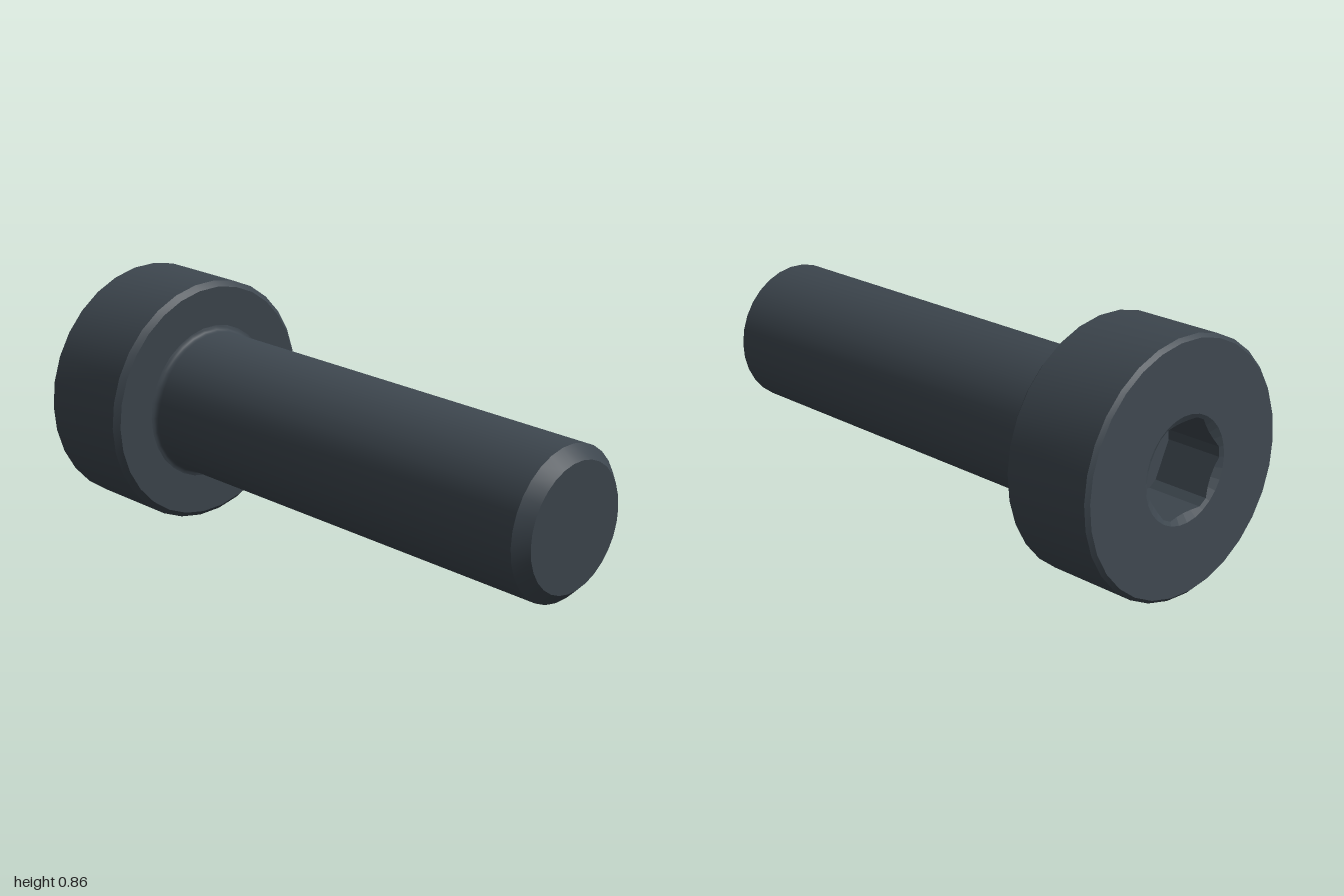
import * as THREE from 'three';
import { toCreasedNormals } from 'three/addons/utils/BufferGeometryUtils.js';

const SIDES = 30;
const HEAD_R = 0.415, HEAD_H = 0.342, SHAFT_R = 0.244, LENGTH = 1.904;
const SOCKET_RIM = 0.173, SOCKET_FLAT = 0.1465, SOCKET_DEPTH = 0.21;

const steel = new THREE.MeshStandardMaterial({ color: 0x3d464e });
steel.name = 'blackenedSteel';

function lathe(points) {
  return new THREE.LatheGeometry(points.map(([r, y]) => new THREE.Vector2(r, y)), SIDES);
}

function part(name, geometry) {
  const mesh = new THREE.Mesh(geometry, steel);
  mesh.name = name;
  return mesh;
}

// Hexagonal recess with a conical lead-in: a lathe whose walls are pulled to a hexagon
function socketGeometry() {
  const rows = [[0, SOCKET_DEPTH], [1, SOCKET_DEPTH], [1, 0], [SOCKET_RIM, 0]];
  const g = lathe(rows);
  const pos = g.attributes.position;
  for (let i = 0; i <= SIDES; i++) {
    const phi = (i / SIDES) * Math.PI * 2;
    // corners lie on the local x axis, where phi is 90 degrees
    const sector = (((phi - Math.PI / 2) % (Math.PI / 3)) + Math.PI / 3) % (Math.PI / 3);
    const r = SOCKET_FLAT / Math.cos(sector - Math.PI / 6);
    const lead = (SOCKET_RIM - r) * 0.6;
    const x = r * Math.sin(phi), z = r * Math.cos(phi);
    pos.setXYZ(i * 4 + 1, x, SOCKET_DEPTH, z);
    pos.setXYZ(i * 4 + 2, x, lead, z);
  }
  const flat = g.toNonIndexed();
  flat.computeVertexNormals();
  return flat;
}

export function createModel() {
  const model = new THREE.Group();
  model.name = 'socketScrew';

  // Head: bevelled rim on both faces, open in the middle for the socket
  const fillet = 0.02;
  const head = lathe([
    [SOCKET_RIM, 0], [HEAD_R - 0.012, 0], [HEAD_R, 0.012],
    [HEAD_R, HEAD_H - 0.018], [HEAD_R - 0.018, HEAD_H], [SHAFT_R + fillet, HEAD_H],
  ]);
  model.add(part('head', toCreasedNormals(head, 0.5)));

  // Shaft: fillet under the head, straight body, chamfered tip
  const profile = [];
  for (let i = 0; i <= 4; i++) {
    const a = (i / 4) * Math.PI / 2;
    profile.push([
      SHAFT_R + fillet * (1 - Math.sin(a)),
      HEAD_H + fillet * (1 - Math.cos(a)),
    ]);
  }
  profile.push([SHAFT_R, LENGTH - 0.04], [SHAFT_R - 0.04, LENGTH], [0, LENGTH]);
  model.add(part('shaft', toCreasedNormals(lathe(profile), 0.5)));

  model.add(part('hexSocket', socketGeometry()));

  // Lay the screw along its slanted axis, head at the right rear
  const axis = new THREE.Vector3(0.972, -0.108, 0.208).normalize();
  const side = new THREE.Vector3(-axis.z, 0, axis.x).normalize();
  const third = new THREE.Vector3().crossVectors(side, axis);
  model.quaternion.setFromRotationMatrix(new THREE.Matrix4().makeBasis(side, axis, third));
  model.position.set(-0.902, 0.45, -0.11);

  const root = new THREE.Group();
  root.name = 'screw';
  root.add(model);
  return root;
}
